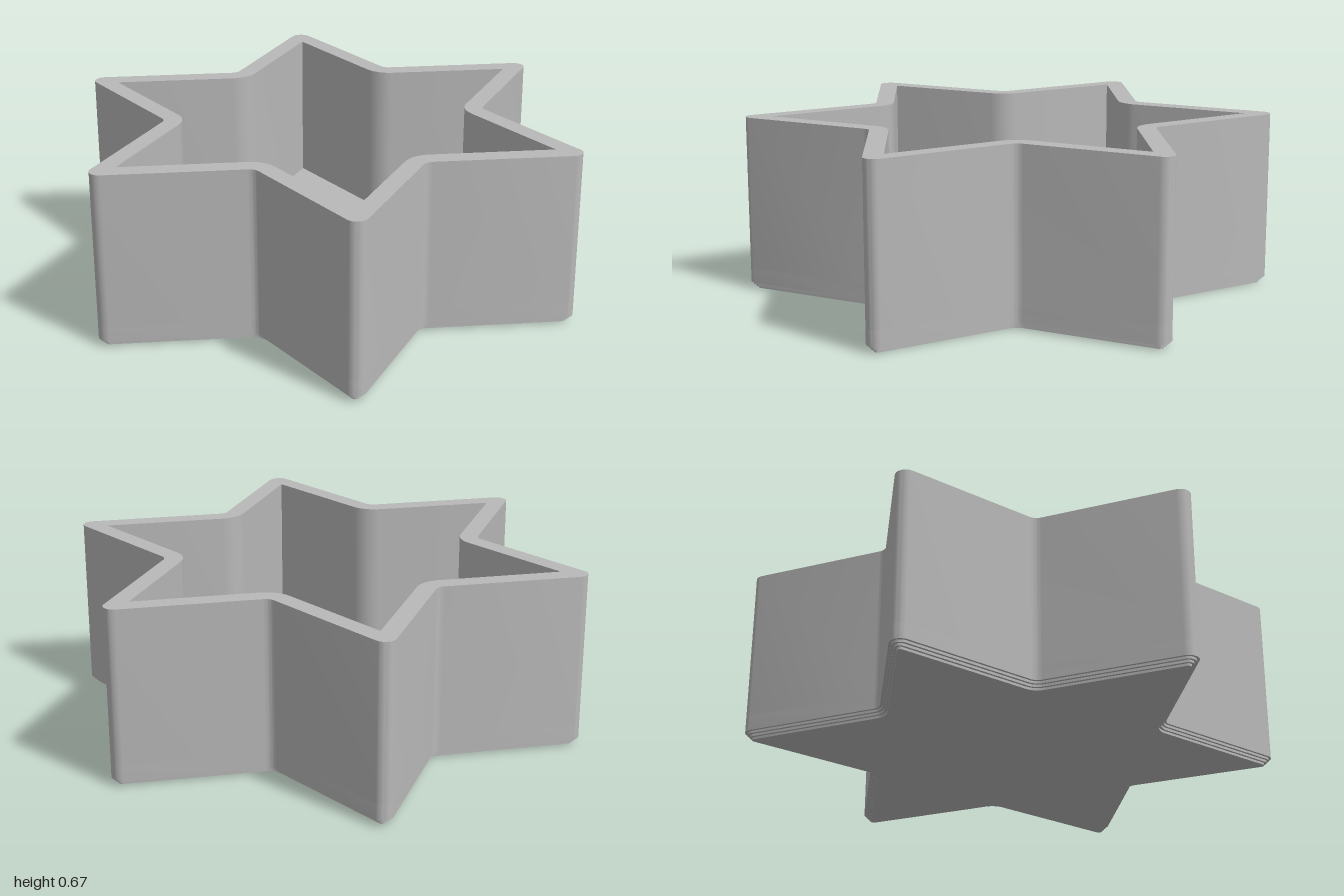
import * as THREE from 'three';
import { toCreasedNormals } from 'three/addons/utils/BufferGeometryUtils.js';

const HEIGHT = 0.67, FLOOR = 0.085, STEP = 0.009, STEPS = 3;
const APOTHEM = 0.52, ROUND = 0.04, WALL = 0.07;
const STEM_RADIUS = 0.126, STEM_HEIGHT = 0.18;

// Six-pointed star outline moved inward by inset; tips sharpen and notches widen as it shrinks
function starPoints(inset) {
  const a = APOTHEM - inset;
  const tipR = Math.max(ROUND - inset, 0), notchR = ROUND + inset;
  const pts = [];
  const arc = (dist, dir, r, from, to, n) => {
    const cx = dist * Math.cos(dir), cy = dist * Math.sin(dir);
    for (let i = 0; i <= n; i++) {
      const t = dir + from + (to - from) * i / n;
      pts.push(new THREE.Vector2(cx + r * Math.cos(t), cy + r * Math.sin(t)));
    }
  };
  for (let k = 0; k < 6; k++) {
    const tip = Math.PI / 6 + k * Math.PI / 3, notch = tip + Math.PI / 6;
    if (tipR > 0) arc(2 * a - 2 * tipR, tip, tipR, -Math.PI / 3, Math.PI / 3, 10);
    else pts.push(new THREE.Vector2(2 * a * Math.cos(tip), 2 * a * Math.sin(tip)));
    arc((2 * a + 2 * notchR) / Math.sqrt(3), notch, notchR, Math.PI * 7 / 6, Math.PI * 5 / 6, 8);
  }
  return pts;
}

// Upright prism from y0 to y1, smooth on the rounded corners only
function prism(name, shape, y0, y1, material) {
  const geo = new THREE.ExtrudeGeometry(shape, { depth: y1 - y0, bevelEnabled: false, curveSegments: 32 });
  geo.rotateX(-Math.PI / 2);
  geo.translate(0, y0, 0);
  const mesh = new THREE.Mesh(toCreasedNormals(geo, 0.5), material);
  mesh.name = name;
  return mesh;
}

export function createModel() {
  const group = new THREE.Group();
  group.name = 'starCap';
  const grey = new THREE.MeshStandardMaterial({ color: 0xb8b8b8 });
  grey.name = 'grey';

  // Stepped lower edge, widening upward
  for (let i = 0; i < STEPS; i++) {
    const shape = new THREE.Shape(starPoints((STEPS - i) * STEP));
    group.add(prism('edgeStep' + (i + 1), shape, i * STEP, (i + 1) * STEP, grey));
  }

  // Floor slab
  group.add(prism('floor', new THREE.Shape(starPoints(0)), STEPS * STEP, FLOOR, grey));

  // Surrounding wall with the star-shaped cavity
  const wall = new THREE.Shape(starPoints(0));
  wall.holes.push(new THREE.Path(starPoints(WALL)));
  group.add(prism('wall', wall, FLOOR, HEIGHT, grey));

  // Round central stem with a cross-shaped socket
  const stem = new THREE.Shape().absarc(0, 0, STEM_RADIUS, 0, Math.PI * 2, false);
  const L = 0.095, w = 0.03;
  const cross = [];
  for (let k = 0; k < 4; k++) {
    for (const [x, y] of [[L, -w], [L, w], [w, w]]) {
      cross.push(new THREE.Vector2(x, y).rotateAround(new THREE.Vector2(), k * Math.PI / 2));
    }
  }
  stem.holes.push(new THREE.Path(cross));
  group.add(prism('stem', stem, FLOOR, FLOOR + STEM_HEIGHT, grey));

  return group;
}
